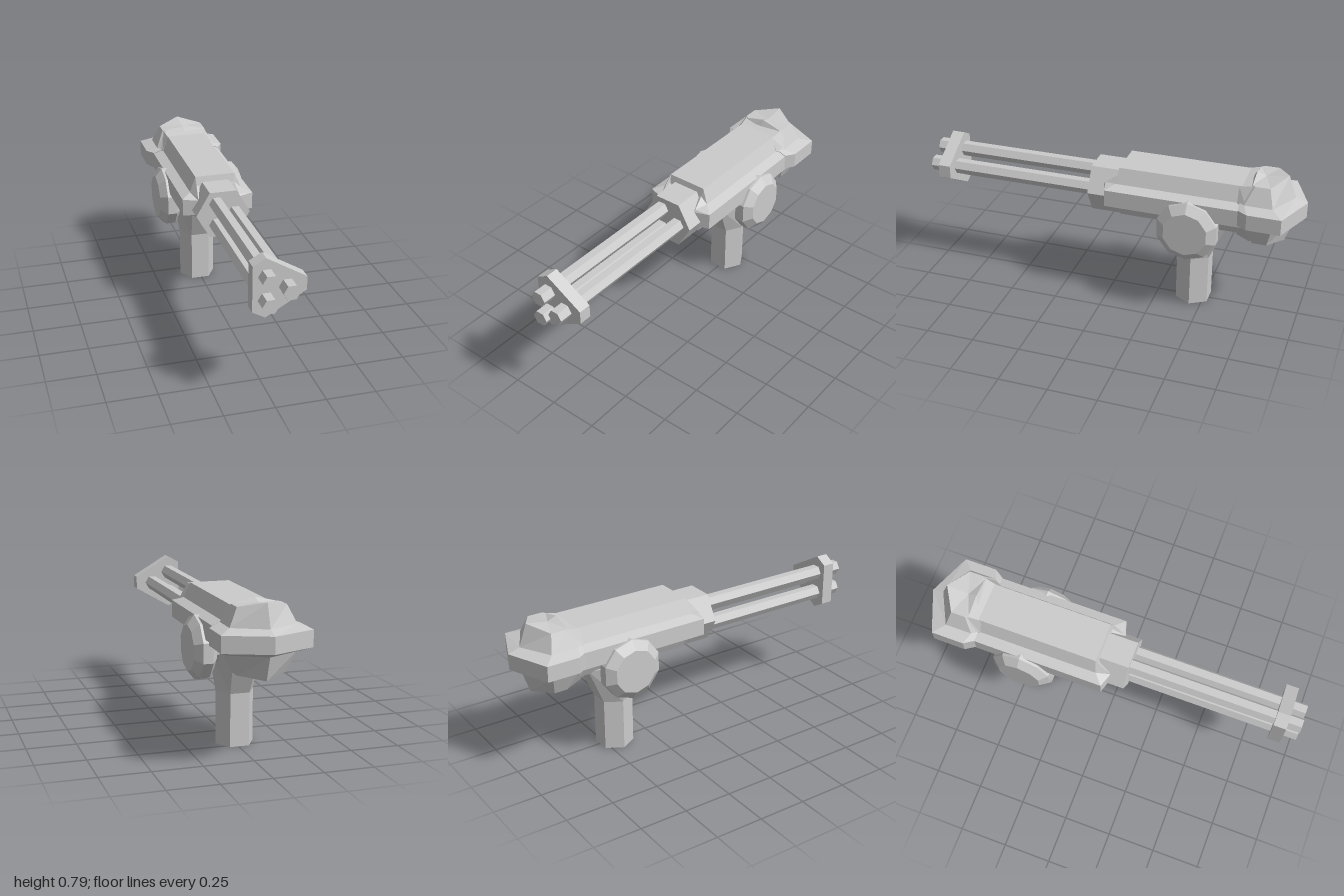
import * as THREE from 'three';

const material = new THREE.MeshStandardMaterial({
  color: 0xcccccc, flatShading: true, roughness: 0.8, side: THREE.DoubleSide,
});

// Skin a series of closed rings of [x, y, z] points and close both ends.
function loft(rings) {
  const tris = [];
  const n = rings[0].length;
  for (let r = 0; r < rings.length - 1; r++) {
    for (let i = 0; i < n; i++) {
      const j = (i + 1) % n;
      const [a, b, c, d] = [rings[r][i], rings[r][j], rings[r + 1][j], rings[r + 1][i]];
      tris.push([a, b, c], [a, c, d]);
    }
  }
  const cap = (ring, flip) => {
    const mid = [0, 1, 2].map((k) => ring.reduce((s, p) => s + p[k], 0) / n);
    ring.forEach((p, i) => {
      const q = ring[(i + 1) % n];
      tris.push(flip ? [mid, q, p] : [mid, p, q]);
    });
  };
  cap(rings[0], true);
  cap(rings[rings.length - 1], false);
  // Turn the whole skin outward when its signed volume is negative.
  const V = (p) => new THREE.Vector3(...p);
  const volume = tris.reduce((s, [a, b, c]) => s + V(a).dot(V(b).cross(V(c))), 0);
  if (volume < 0) tris.forEach((t) => t.reverse());
  const geo = new THREE.BufferGeometry();
  geo.setAttribute('position', new THREE.Float32BufferAttribute(tris.flat(2), 3));
  geo.computeVertexNormals();
  return geo;
}

// Complete a right-hand half outline with its mirror image across x = 0.
const mirrorRing = (half) => [
  ...half,
  ...half.filter((p) => p[0] !== 0).reverse().map(([x, y, z]) => [-x, y, z]),
];

// Prism along z with a vertex on the x axis.
function prismZ(radius, z0, z1, sides = 6) {
  const geo = new THREE.CylinderGeometry(radius, radius, z1 - z0, sides);
  geo.rotateY(Math.PI / 2).rotateX(Math.PI / 2).translate(0, 0, (z0 + z1) / 2);
  return geo;
}

export function createModel() {
  const model = new THREE.Group();
  const add = (name, geo, x = 0, y = 0, z = 0) => {
    const mesh = new THREE.Mesh(geo, material);
    mesh.name = name;
    mesh.position.set(x, y, z);
    model.add(mesh);
    return mesh;
  };

  // Three hexagonal barrels
  [[-0.035, 0.652], [-0.035, 0.535], [0.063, 0.592]].forEach(([x, y], i) =>
    add(`barrel${i + 1}`, prismZ(0.04, 0.02, 1), x, y));

  // Muzzle plate: a triangle with cut corners
  const plate = new THREE.Shape([
    [-0.1, 0.708], [-0.1, 0.48], [-0.038, 0.445],
    [0.157, 0.56], [0.157, 0.628], [-0.038, 0.743],
  ].map(([x, y]) => new THREE.Vector2(x, y)));
  add('muzzlePlate', new THREE.ExtrudeGeometry(plate, { depth: 0.065, bevelEnabled: false }), 0, 0, 0.865);

  // Barrel hub
  add('barrelHub', prismZ(0.142, -0.12, 0.1), 0, 0.592);

  // Body with side flanges and a bevelled front
  const section = [
    [0.105, 0.745, -0.06], [0.137, 0.668, -0.05], [0.187, 0.648, -0.005],
    [0.187, 0.56, -0.005], [0.11, 0.538, -0.05], [0.075, 0.465, -0.06],
  ];
  const nose = [
    [0.1, 0.7, -0.05], [0.11, 0.657, 0.012], [0.11, 0.645, 0.02],
    [0.11, 0.565, 0.02], [0.1, 0.55, 0], [0.07, 0.5, -0.05],
  ];
  add('body', loft([
    mirrorRing(nose),
    mirrorRing(section),
    mirrorRing(section.map(([x, y]) => [x, y, -0.74])),
  ]));

  // Rear cap: [y, y at centre back, front x, front z, side x, side front z, side back z, back z]
  const capLevels = [
    [0.445, 0.425, 0.105, -0.745, 0.12, -0.76, -0.83, -0.9],
    [0.545, 0.545, 0.14, -0.69, 0.162, -0.715, -0.855, -0.94],
    [0.57, 0.57, 0.187, -0.69, 0.22, -0.74, -0.91, -1],
    [0.652, 0.652, 0.187, -0.69, 0.22, -0.74, -0.91, -1],
    [0.672, 0.672, 0.14, -0.685, 0.162, -0.715, -0.855, -0.94],
    [0.76, 0.785, 0.105, -0.74, 0.12, -0.755, -0.83, -0.9],
  ];
  add('rearCap', loft(capLevels.map(([y, yc, fx, fz, sx, sz, bz, cz]) =>
    mirrorRing([[0, yc, fz], [fx, y, fz], [sx, y, sz], [sx, y, bz], [0, yc, cz]]))));

  // Neck between the body and the front of the cap
  add('capNeck', loft([
    mirrorRing([[0.105, 0.742, -0.675], [0.14, 0.668, -0.675], [0.14, 0.545, -0.675], [0.1, 0.47, -0.675]]),
    mirrorRing([[0.115, 0.758, -0.75], [0.16, 0.67, -0.72], [0.16, 0.545, -0.72], [0.115, 0.447, -0.75]]),
  ]));

  // Six-sided handle, flaring towards the body
  const handleRing = (y, rx, mx, rz) => [
    [rx, 0], [mx, rz], [-mx, rz], [-rx, 0], [-mx, -rz], [mx, -rz],
  ].map(([x, z]) => [x, y, z]);
  add('handle', loft([
    handleRing(0, 0.0975, 0.049, 0.084),
    handleRing(0.27, 0.0975, 0.049, 0.084),
    handleRing(0.48, 0.134, 0.066, 0.175),
  ]), -0.0055, 0, -0.442);

  // Ten-sided side drums with bevelled rims, each on a short axle
  const drumProfile = [
    [0, 0.04], [0.085, 0.04], [0.085, 0.12], [0.115, 0.12],
    [0.16, 0.15], [0.16, 0.2], [0.115, 0.235], [0, 0.235],
  ].map(([r, h]) => new THREE.Vector2(r, h));
  for (const side of [1, -1]) {
    const drum = add(side > 0 ? 'leftDrum' : 'rightDrum',
      new THREE.LatheGeometry(drumProfile, 10), 0, 0.495, -0.44);
    drum.rotation.z = -side * Math.PI / 2;
    drum.geometry.rotateY(Math.PI / 2);
  }

  return model;
}
